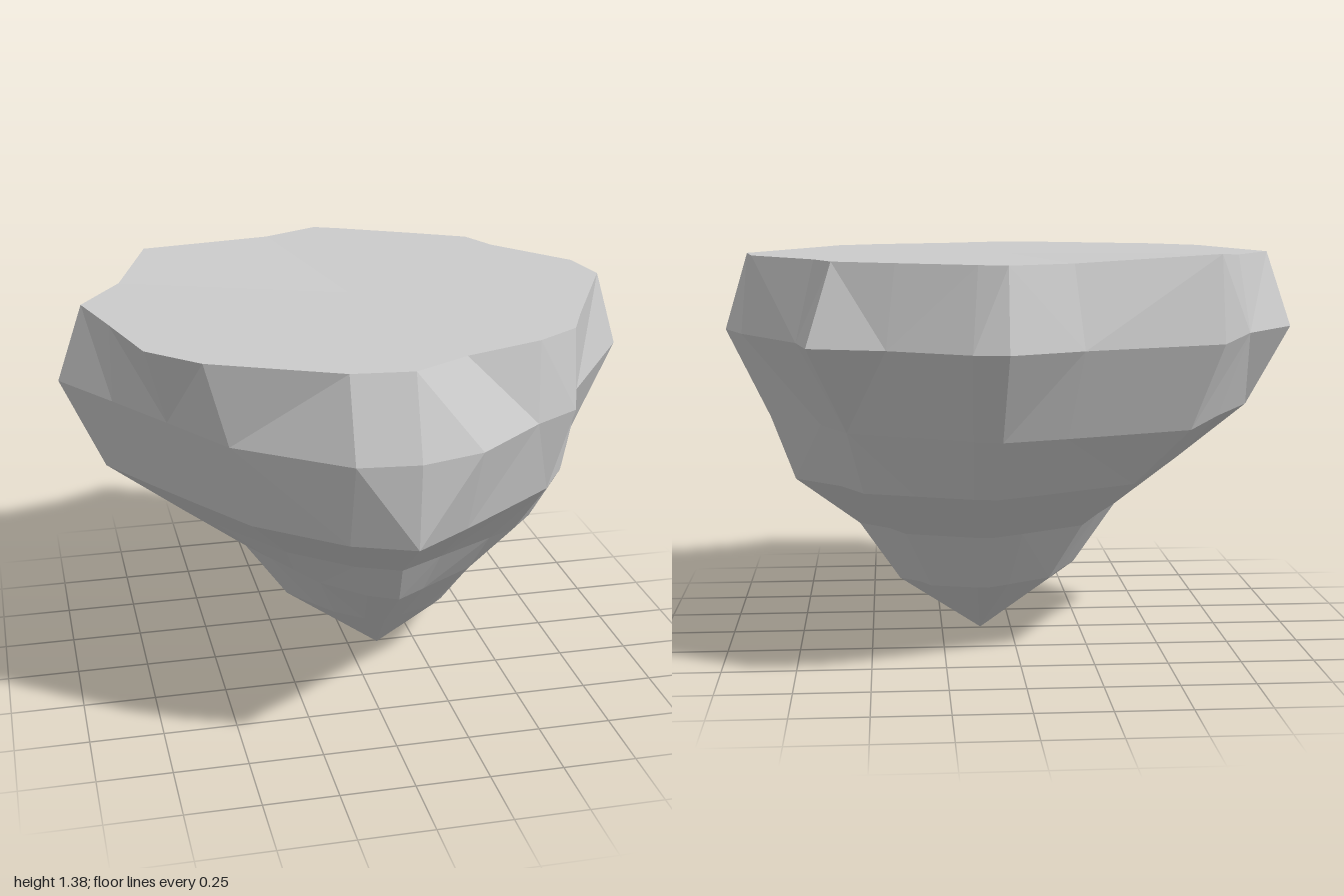
import * as THREE from 'three';

// Outlines as x, z pairs, running from the left side round by the front
const TOP = [0.92, -0.03, 0.69, 0.43, 0.62, 0.58, 0.47, 0.68, 0.2, 0.78, 0.01, 0.89, -0.19, 0.87, -0.6, 0.68, -0.76, 0.52, -0.84, 0.22,
  -0.91, -0.03, -0.76, -0.27, -0.63, -0.65, -0.14, -0.81, 0.07, -0.92, 0.16, -0.88, 0.41, -0.75, 0.61, -0.64, 0.67, -0.5, 0.89, -0.22];
const RIM = [1, -0.03, 0.69, 0.43, 0.62, 0.62, 0.46, 0.72, 0.22, 0.92, 0.01, 0.98, -0.19, 0.96, -0.53, 0.71, -0.69, 0.45, -0.84, 0.21,
  -1, -0.04, -0.8, -0.3, -0.64, -0.68, -0.17, -0.86, 0.07, -0.98, 0.18, -0.96, 0.44, -0.81, 0.69, -0.73, 0.73, -0.54, 0.93, -0.21];
const BELLY = [0.83, 0.03, 0.65, 0.42, 0.55, 0.57, 0.43, 0.66, 0.2, 0.83, 0.01, 0.96, -0.19, 0.88, -0.46, 0.66, -0.6, 0.45, -0.73, 0.25,
  -0.86, 0.04, -0.7, -0.26, -0.55, -0.58, -0.13, -0.74, 0.08, -0.81, 0.17, -0.78, 0.38, -0.67, 0.57, -0.57, 0.66, -0.38, 0.84, -0.17];
const TIP = new THREE.Vector3(0.11, 0, 0.01);

const ring = (outline, y) => {
  const points = [];
  for (let i = 0; i < outline.length; i += 2) points.push(new THREE.Vector3(outline[i], y, outline[i + 1]));
  return points;
};

// Shrinks the belly outline towards the tip axis, with its own reach on each side
const shrunk = (y, left, right, front, back) => ring(BELLY, y).map((p) => {
  const dx = p.x - TIP.x;
  const sx = dx > 0 ? (left - TIP.x) / 0.73 : (right - TIP.x) / -0.97;
  const sz = p.z > 0 ? front / 0.96 : back / -0.81;
  return new THREE.Vector3(TIP.x + dx * sx, y - dx * 0.02, p.z * sz);
});

function facetedMesh(name, triangles) {
  const geometry = new THREE.BufferGeometry().setFromPoints(triangles);
  geometry.computeVertexNormals();
  const material = new THREE.MeshStandardMaterial({ color: 0xcccccc, flatShading: true });
  const mesh = new THREE.Mesh(geometry, material);
  mesh.name = name;
  return mesh;
}

export function createModel() {
  const top = ring(TOP, 1.365);
  top[12].y = 1.385; // slight rise at the back right corner
  const rings = [
    top,
    ring(RIM, 1.1),
    ring(BELLY, 0.81),
    shrunk(0.6, 0.76, -0.61, 0.66, -0.66),
    shrunk(0.43, 0.54, -0.38, 0.53, -0.45),
    shrunk(0.22, 0.4, -0.23, 0.27, -0.29),
  ];
  const count = top.length;
  const ground = [];
  const rock = [];
  const centre = new THREE.Vector3(0, 1.36, 0);

  for (let i = 0; i < count; i++) {
    const j = (i + 1) % count;
    // Flat ground on top
    ground.push(centre, top[j], top[i]);
    // Faceted sides, each panel split along its shorter diagonal
    for (let k = 0; k < rings.length - 1; k++) {
      const [a, b] = [rings[k], rings[k + 1]];
      if (a[j].distanceTo(b[i]) < a[i].distanceTo(b[j])) rock.push(a[i], a[j], b[i], a[j], b[j], b[i]);
      else rock.push(a[i], a[j], b[j], a[i], b[j], b[i]);
    }
    // Pointed foot
    const last = rings[rings.length - 1];
    rock.push(last[i], last[j], TIP);
  }

  const group = new THREE.Group();
  group.name = 'floatingRock';
  group.add(facetedMesh('topGround', ground), facetedMesh('rockSides', rock));
  return group;
}
